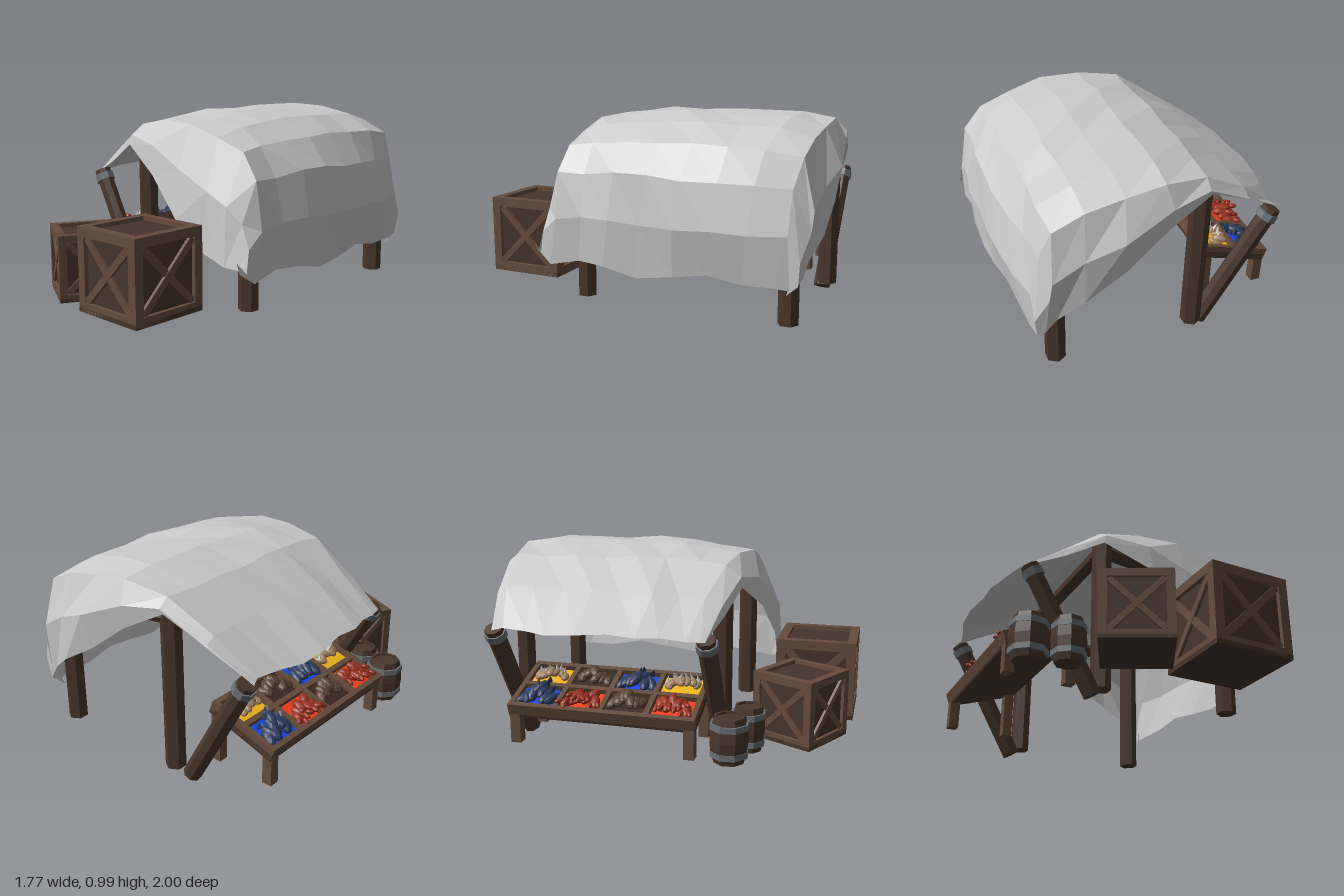
import * as THREE from 'three';

const mat = (color, extra = {}) => new THREE.MeshStandardMaterial({ color, flatShading: true, ...extra });
const M = {
  wood: mat(0x49362b), frame: mat(0x654c3c), panel: mat(0x46342a), metal: mat(0x6a7075),
  cloth: mat(0xcccccc, { side: THREE.DoubleSide }),
  blue: mat(0x2c3c5e), blueBed: mat(0x1448e8), red: mat(0x96301f), redBed: mat(0xf0401c),
  brown: mat(0x5a4232), brownBed: mat(0x3a2a20), shell: mat(0xa08060), yellowBed: mat(0xf0b41c), white: mat(0xdddddd),
};
const V = (x, y, z) => new THREE.Vector3(x, y, z);

function add(parent, name, geo, material, pos = [0, 0, 0], rot = [0, 0, 0]) {
  const m = new THREE.Mesh(geo, material);
  m.name = name;
  m.position.set(...pos);
  m.rotation.set(...rot);
  parent.add(m);
  return m;
}
const box = (parent, name, size, material, pos, rot) =>
  add(parent, name, new THREE.BoxGeometry(...size), material, pos, rot);

// Round timber between two points
function timber(parent, name, p, q, r, sides, material = M.wood) {
  const d = q.clone().sub(p);
  const m = add(parent, name, new THREE.CylinderGeometry(r, r, d.length(), sides), material);
  m.position.copy(p).add(q).multiplyScalar(0.5);
  m.quaternion.setFromUnitVectors(V(0, 1, 0), d.normalize());
}

function seeded(seed) {
  return () => (seed = (seed * 16807) % 2147483647) / 2147483647;
}

// Crate: recessed core, twelve frame bars, crossed braces on four sides, plain floor
function crate(parent, s, pos, turn) {
  const g = new THREE.Group();
  g.name = 'crate';
  g.position.set(...pos);
  g.rotation.y = turn;
  parent.add(g);
  const t = s * 0.115, o = s / 2 - t / 2, inner = s - t * 0.9;
  box(g, 'crateCore', [inner, inner, inner], M.panel);
  box(g, 'crateFloor', [s, t * 0.5, s], M.panel, [0, -s / 2 + t * 0.22, 0]);
  for (const i of [-1, 1]) for (const j of [-1, 1]) {
    box(g, 'crateUpright', [t, s, t], M.frame, [i * o, 0, j * o]);
    box(g, 'crateRail', [s - 2 * t, t, t], M.frame, [0, i * o, j * o]);
    box(g, 'crateRail', [t, t, s - 2 * t], M.frame, [i * o, j * o, 0]);
  }
  for (let k = 0; k < 4; k++) {
    const side = new THREE.Group();
    side.name = 'crateSide';
    side.rotation.y = k * Math.PI / 2;
    g.add(side);
    const len = (s - 2 * t) * 1.36;
    box(side, 'crateBrace', [len, t * 0.75, t * 0.5], M.frame, [0, 0, inner / 2 + t * 0.1], [0, 0, Math.PI / 4]);
    box(side, 'crateBrace', [len, t * 0.75, t * 0.4], M.frame, [0, 0, inner / 2 + t * 0.08], [0, 0, -Math.PI / 4]);
  }
}

function barrel(parent, r, h, pos) {
  const g = new THREE.Group();
  g.name = 'barrel';
  g.position.set(...pos);
  parent.add(g);
  const prof = [[0, 0], [0.78, 0], [0.95, 0.25], [1, 0.5], [0.95, 0.75], [0.8, 1], [0.66, 1], [0.66, 0.95], [0, 0.95]];
  add(g, 'barrelBody', new THREE.LatheGeometry(prof.map(([x, y]) => new THREE.Vector2(x * r, y * h)), 8), M.wood);
  for (const f of [0.2, 0.8])
    add(g, 'barrelHoop', new THREE.CylinderGeometry(r * 0.99, r * 0.99, h * 0.13, 8), M.metal, [0, f * h, 0]);
}

// Goods heaped in one tray compartment
function goods(parent, kind, x, z, rnd) {
  const g = new THREE.Group();
  g.name = kind + 'Goods';
  g.position.set(x, 0.015, z);
  parent.add(g);
  box(g, 'bed', [0.15, 0.012, 0.195], M[kind + 'Bed']);
  const ball = new THREE.IcosahedronGeometry(1, 1), cone = new THREE.ConeGeometry(1, 2, 5);
  for (let i = 0; i < 7; i++) {
    const item = new THREE.Group();
    item.name = 'item';
    item.position.set((rnd() - 0.5) * 0.05, 0.05 - Math.abs(i - 3) * 0.01, (i - 3) * 0.022);
    item.rotation.set((rnd() - 0.5) * 0.5, (rnd() - 0.5) * 1.2, (rnd() - 0.5) * 0.5);
    g.add(item);
    const part = (name, geo, m, scale, pos, rot) => add(item, name, geo, m, pos, rot).scale.set(...scale);
    if (kind === 'blue') {
      part('fishBody', ball, M.blue, [0.055, 0.024, 0.026]);
      part('fishTail', cone, M.blue, [0.022, 0.018, 0.008], [0.055, 0, 0], [0, 0, Math.PI / 2]);
    } else if (kind === 'red') {
      part('lobsterBody', ball, M.red, [0.046, 0.022, 0.024]);
      for (const s of [-1, 1]) part('lobsterClaw', ball, M.red, [0.022, 0.012, 0.012], [-0.04, 0.014, s * 0.02], [0, s * 0.4, 0]);
    } else if (kind === 'brown') {
      part('loaf', ball, M.brown, [0.044, 0.022, 0.026]);
    } else {
      part('shellBody', ball, M.shell, [0.038, 0.018, 0.022]);
      part('shellSpike', cone, M.white, [0.011, 0.022, 0.011], [0.01, 0.026, 0], [rnd() - 0.5, 0, 0.7 * (rnd() - 0.5)]);
    }
  }
}

// Sloping display table with two rows of four compartments
function table(parent) {
  const g = new THREE.Group();
  g.name = 'displayTable';
  g.position.set(-0.55, 0, -0.18);
  parent.add(g);
  const W = 0.375, L = 0.91, tilt = 0.32;
  for (const i of [-1, 1]) for (const j of [-1, 1]) {
    const top = i < 0 ? 0.25 : 0.35;
    box(g, 'tableLeg', [0.05, top - 0.085, 0.05], M.frame, [i * 0.15, (top + 0.085) / 2, j * 0.425]);
  }
  const tray = new THREE.Group();
  tray.name = 'tray';
  tray.position.y = 0.295;
  tray.rotation.z = tilt;
  g.add(tray);
  box(tray, 'trayBase', [W, 0.035, L], M.wood, [0, -0.005, 0]);
  for (const i of [-1, 0, 1]) box(tray, 'trayRail', [0.027, 0.055, L], M.frame, [i * (W - 0.027) / 2, 0.018, 0]);
  for (let j = 0; j <= 4; j++) box(tray, 'trayDivider', [W, 0.053, 0.025], M.frame, [0, 0.018, (j / 4 - 0.5) * (L - 0.025)]);
  const rnd = seeded(77);
  [['blue', 'red', 'brown', 'red'], ['yellow', 'brown', 'blue', 'yellow']].forEach((row, i) =>
    row.forEach((kind, j) => goods(tray, kind, (i - 0.5) * 0.175, (j - 1.5) * 0.222, rnd)));
}

// Draped awning: one cross-section, swept back to front and dropped to a hem at both ends
function awning(parent) {
  const a = [-0.68, -0.49, -0.28, -0.06, 0.15, 0.33, 0.47, 0.55, 0.59, 0.57];
  const y = [0.635, 0.80, 0.93, 0.985, 0.98, 0.95, 0.87, 0.72, 0.50, 0.26];
  const back = [-0.73, -0.79, -0.84, -0.88, -0.90, -0.89, -0.87, -0.85, -0.83, -0.79];
  const front = [0.31, 0.36, 0.41, 0.46, 0.485, 0.49, 0.49, 0.48, 0.49, 0.52];
  const hemBack = [0.62, 0.75, 0.86, 0.75, 0.59, 0.47, 0.37, 0.31, 0.27, 0.22];
  const hemFront = [0.63, 0.71, 0.80, 0.68, 0.50, 0.36, 0.32, 0.31, 0.30, 0.33];
  // how strongly the ends of each strip sag
  const sag = [0.1, 0.3, 0.3, 0.45, 0.7, 0.9, 0.7, 0.3, 0.2, 0];
  // each row: position from back to front, share of the drop to the hem, dip of the top
  const rows = [[0.015, 1, 0.06], [0, 0.5, 0.06], [0.05, 0, 0.05], [0.17, 0, 0.015], [0.3, 0, 0.005], [0.43, 0, 0],
    [0.56, 0, 0], [0.69, 0, 0.01], [0.81, 0, 0.03], [0.92, 0, 0.075], [0.98, 0.45, 0.09], [1, 1, 0.09]];
  const n = a.length, rnd = seeded(11), pos = [], idx = [];
  const jit = (k) => (rnd() - 0.5) * k;
  rows.forEach(([f, drop, dip], r) => {
    for (let c = 0; c < n; c++) {
      const hem = (f < 0.5 ? hemBack : hemFront)[c];
      const top = y[c] - dip * sag[c];
      const mid = Math.sin(f * Math.PI);
      const bulge = c === 0 ? -0.055 * mid : c > 6 ? 0.03 * mid - 0.045 * (1 - f) ** 4 : 0;
      const wave = c === 9 ? 0.02 * Math.sin(r * 1.9) : 0;
      pos.push(a[c] + bulge + jit(0.03), top + (hem - top) * drop + wave + jit(0.02),
        back[c] + (front[c] - back[c]) * f + jit(0.03));
      if (r && c) {
        const q = r * n + c;
        idx.push(q - n - 1, q - 1, q - n, q - n, q - 1, q);
      }
    }
  });
  const geo = new THREE.BufferGeometry();
  geo.setAttribute('position', new THREE.Float32BufferAttribute(pos, 3));
  geo.setIndex(idx);
  geo.computeVertexNormals();
  add(parent, 'awning', geo, M.cloth);
}

export function createModel() {
  const model = new THREE.Group();
  model.name = 'marketStall';

  // Stall parts share one turned frame
  const stall = new THREE.Group();
  stall.name = 'stall';
  stall.rotation.y = -0.497;
  model.add(stall);

  // Posts and top beams
  const A = -0.26, B = 0.445, F = 0.3, K = -0.755, hi = 0.82, lo = 0.75;
  for (const z of [F, K]) {
    timber(stall, 'post', V(A, 0.065, z), V(A, hi + 0.03, z), 0.05, 6);
    timber(stall, 'post', V(B, 0.065, z), V(B, lo + 0.02, z), 0.05, 6);
    timber(stall, 'crossBeam', V(A, hi, z), V(B, lo, z), 0.036, 6);
  }
  timber(stall, 'longBeam', V(A, hi, F), V(A, hi, K), 0.036, 6);
  timber(stall, 'longBeam', V(B, lo, F), V(B, lo, K), 0.036, 6);
  awning(stall);
  table(stall);

  // Leaning poles with metal collars
  for (const [p, q] of [[V(-0.42, 0.025, 0.13), V(-0.71, 0.63, -0.04)], [V(0.055, 0.02, -0.78), V(-0.24, 0.625, -0.955)]]) {
    timber(model, 'leaningPole', p, q, 0.045, 8);
    timber(model, 'poleCollar', p.clone().lerp(q, 0.91), p.clone().lerp(q, 0.965), 0.053, 8, M.metal);
  }

  crate(model, 0.4, [-0.2, 0.3, 0.725], -0.497);
  crate(model, 0.327, [-0.575, 0.255, 0.475], -0.98);
  barrel(model, 0.093, 0.215, [-0.79, 0.08, 0.05]);
  barrel(model, 0.083, 0.215, [-0.67, 0.08, 0.18]);
  return model;
}
